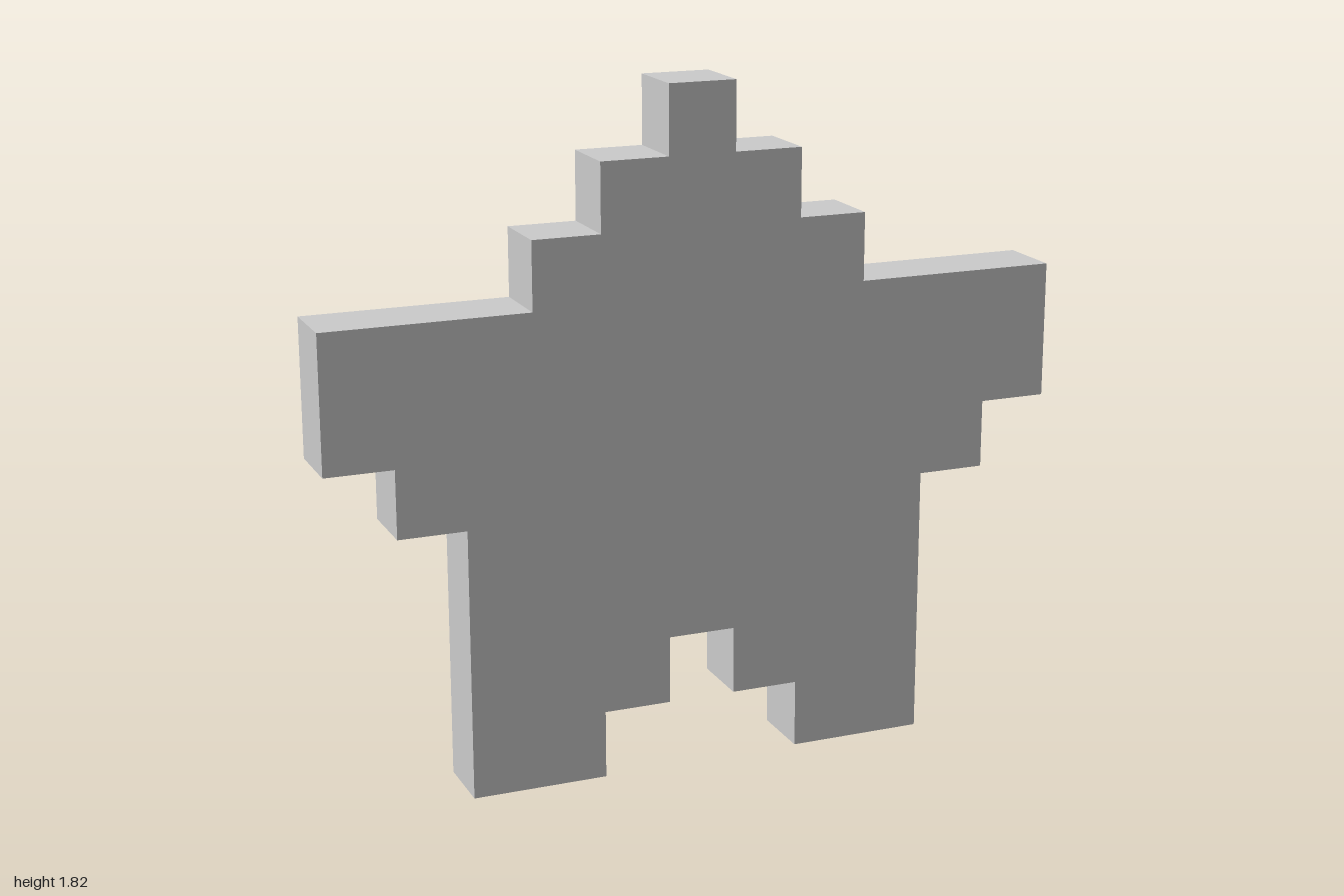
import * as THREE from 'three';

// The star is drawn on a grid of square cells, 11 cells wide
const CELL = 2 / 11;

// Left half of the stepped outline in cells, from the notch between the legs up to the tip
const HALF = [
  [0.5, 2], [0.5, 1], [1.5, 1], [1.5, 0],  // inside of the leg
  [3.5, 0], [3.5, 4], [4.5, 4], [4.5, 5],  // outside of the leg, underside of the arm
  [5.5, 5], [5.5, 7], [2.5, 7],            // arm
  [2.5, 8], [1.5, 8], [1.5, 9], [0.5, 9], [0.5, 10], // steps to the tip
];

export function createModel() {
  const group = new THREE.Group();
  group.name = 'pixelStar';

  // Full outline: the half plus its mirror image in reverse order
  const mirrored = HALF.map(([x, y]) => [-x, y]).reverse();
  const outline = [...HALF, ...mirrored].map(([x, y]) => new THREE.Vector2(x * CELL, y * CELL));

  // One cell thick, centred on z = 0
  const geometry = new THREE.ExtrudeGeometry(new THREE.Shape(outline), {
    depth: CELL,
    bevelEnabled: false,
  });
  geometry.translate(0, 0, -CELL / 2);

  const star = new THREE.Mesh(
    geometry,
    new THREE.MeshStandardMaterial({ color: 0xcccccc, flatShading: true }),
  );
  star.name = 'starBody';
  group.add(star);
  return group;
}
